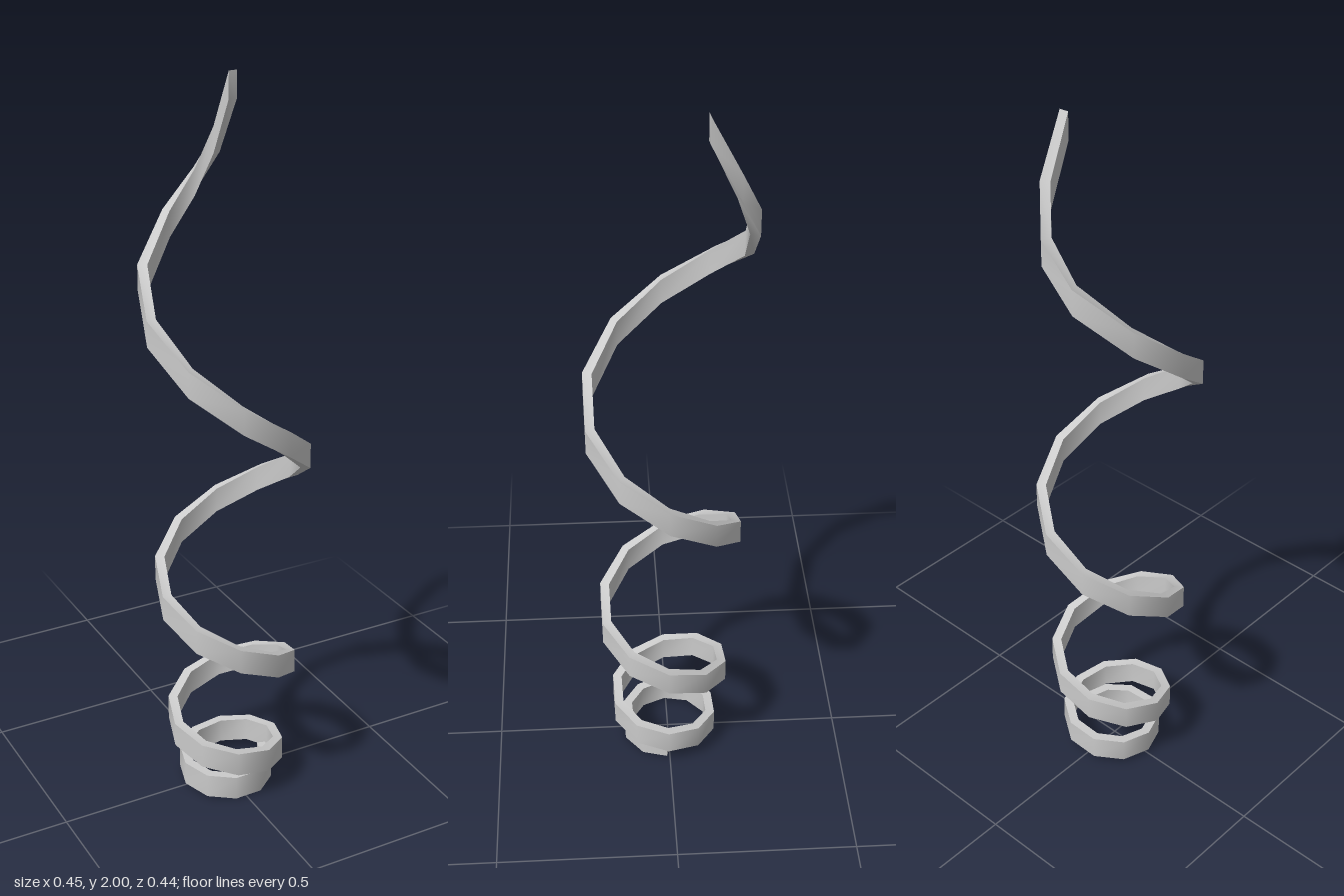
import * as THREE from 'three';
import { toCreasedNormals } from 'three/addons/utils/BufferGeometryUtils.js';

const STEPS = 40;          // ten segments per turn, four turns
const WIDTH = 0.0248;      // radial thickness of the strip
const HEIGHT = 0.07;       // vertical height of the strip

// Centre line: a widening spiral whose pitch grows with height
function centreLine() {
  const points = [];
  for (let i = 0; i <= STEPS - 3; i++) {
    const a = (i / 10) * Math.PI * 2;
    const r = 0.1095 + 0.0031 * i;
    const y = 0.035 + 1.355 * Math.pow(i / 35, 2.6);
    points.push(new THREE.Vector3(0.007 + r * Math.cos(a), y, 0.005 + r * Math.sin(a)));
  }
  // The tip bends inwards
  points.push(
    new THREE.Vector3(0.022, 1.7, -0.212),
    new THREE.Vector3(0.065, 1.815, -0.168),
    new THREE.Vector3(0.072, 1.965, -0.094)
  );
  return points;
}

// Sweep an upright rectangle along the path, mitred in plan at every joint
function sweepStrip(path) {
  const last = path.length - 1;
  const normals = [];
  for (let i = 0; i < last; i++) {
    const dx = path[i + 1].x - path[i].x;
    const dz = path[i + 1].z - path[i].z;
    normals.push(new THREE.Vector2(dz, -dx).normalize());
  }
  const positions = [];
  path.forEach((p, i) => {
    const before = normals[Math.max(i - 1, 0)];
    const after = normals[Math.min(i, last - 1)];
    const mitre = before.clone().add(after).normalize();
    mitre.multiplyScalar(WIDTH / 2 / mitre.dot(after));
    for (const [side, up] of [[1, -1], [1, 1], [-1, 1], [-1, -1]]) {
      positions.push(p.x + side * mitre.x, p.y + (up * HEIGHT) / 2, p.z + side * mitre.y);
    }
  });

  const index = [];
  for (let i = 0; i < last; i++) {
    for (let j = 0; j < 4; j++) {
      const a = i * 4 + j;
      const b = i * 4 + ((j + 1) % 4);
      index.push(a, b, a + 4, b, b + 4, a + 4);
    }
  }
  // End caps
  const e = last * 4;
  index.push(0, 2, 1, 0, 3, 2, e, e + 1, e + 2, e, e + 2, e + 3);

  const geometry = new THREE.BufferGeometry();
  geometry.setAttribute('position', new THREE.Float32BufferAttribute(positions, 3));
  geometry.setIndex(index);
  return toCreasedNormals(geometry, 0.9);
}

export function createModel() {
  const group = new THREE.Group();
  group.name = 'spiralStreamer';
  const strip = new THREE.Mesh(
    sweepStrip(centreLine()),
    new THREE.MeshStandardMaterial({ color: 0xcccccc })
  );
  strip.name = 'spiralStrip';
  group.add(strip);
  return group;
}
